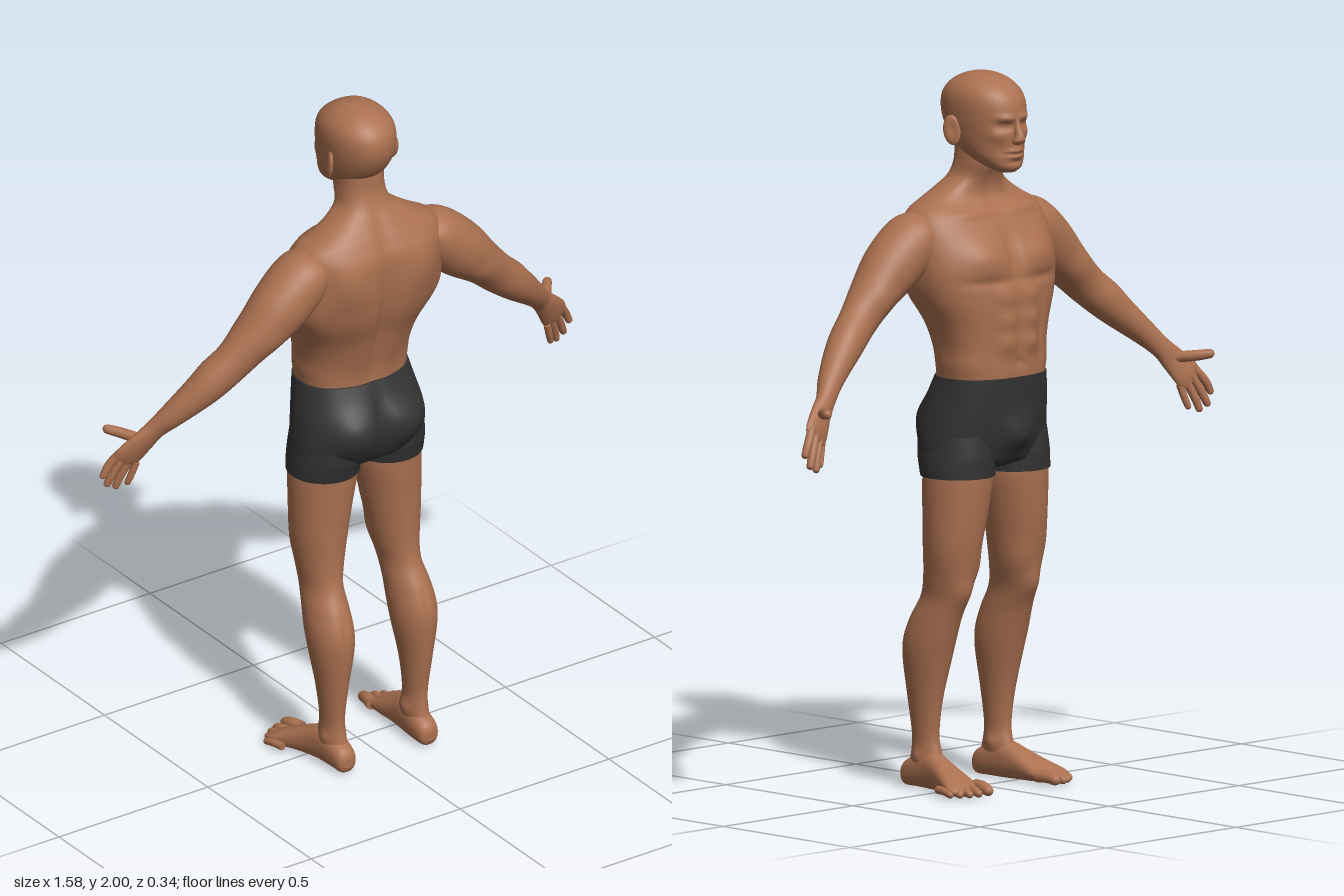
import * as THREE from 'three';

const V = (x, y, z) => new THREE.Vector3(x, y, z);
const UP = V(0, 1, 0), DOWN = V(0, -1, 0), BACK = V(0, 0, 1), FORWARD = V(0, 0, -1);

// Smooth interpolation through rows of numbers
function spline(rows, steps) {
  const out = [], last = rows.length - 1;
  for (let i = 0; i < last; i++) {
    const [a, b, c, d] = [rows[Math.max(i - 1, 0)], rows[i], rows[i + 1], rows[Math.min(i + 2, last)]];
    for (let s = 0; s < steps; s++) {
      const t = s / steps;
      out.push(b.map((_, k) => {
        const cubic = 3 * (b[k] - c[k]) + d[k] - a[k];
        const square = 2 * a[k] - 5 * b[k] + 4 * c[k] - d[k];
        return b[k] + 0.5 * t * (c[k] - a[k] + t * (square + t * cubic));
      }));
    }
  }
  out.push(rows[last]);
  return out;
}

// Skin over cross-sections [x, y, z, halfWidth, halfDepth]; axis fixes the ring direction
function loft(rows, { sides = 40, steps = 6, power = 2, ref = BACK, axis = null } = {}) {
  const rings = spline(rows, steps), pos = [], idx = [], n = rings.length;
  const centre = i => V(...rings[Math.min(Math.max(i, 0), n - 1)].slice(0, 3));
  const round = v => Math.sign(v) * Math.pow(Math.abs(v), 2 / power);
  rings.forEach((r, i) => {
    const t = axis ? axis.clone() : centre(i + 1).sub(centre(i - 1)).normalize();
    const v = ref.clone().addScaledVector(t, -ref.dot(t)).normalize();
    const u = v.clone().cross(t);
    for (let j = 0; j < sides; j++) {
      const q = j / sides * Math.PI * 2;
      pos.push(...centre(i).addScaledVector(u, r[3] * round(Math.cos(q)))
        .addScaledVector(v, r[4] * round(Math.sin(q))).toArray());
    }
  });
  for (let i = 0; i < n - 1; i++) for (let j = 0; j < sides; j++) {
    const a = i * sides + j, b = i * sides + (j + 1) % sides;
    idx.push(a, b, a + sides, b, b + sides, a + sides);
  }
  for (const i of [0, n - 1]) {
    const base = pos.length / 3;
    pos.push(...pos.slice(i * sides * 3, (i + 1) * sides * 3), ...centre(i).toArray());
    for (let j = 0; j < sides; j++) {
      const a = base + j, b = base + (j + 1) % sides;
      idx.push(...(i ? [a, b, base + sides] : [b, a, base + sides]));
    }
  }
  const g = new THREE.BufferGeometry();
  g.setAttribute('position', new THREE.Float32BufferAttribute(pos, 3));
  g.setIndex(idx);
  g.computeVertexNormals();
  return g;
}

// Horizontal cross-section from its limits
const level = (y, x0, x1, zf, zb) => [(x0 + x1) / 2, y, (zf + zb) / 2, (x1 - x0) / 2, (zb - zf) / 2];
const even = ([y, w, zf, zb]) => level(y, -w, w, zf, zb);

// Push soft mounds or hollows [x, y, z, rx, ry, rz, height] on both halves
function sculpt(g, mounds) {
  const p = g.attributes.position, nor = g.attributes.normal;
  for (let i = 0; i < p.count; i++) {
    const x = Math.abs(p.getX(i)), y = p.getY(i), z = p.getZ(i);
    let d = 0;
    for (const [mx, my, mz, rx, ry, rz, h] of mounds) {
      const away = V((x - mx) / rx, (y - my) / ry, (z - mz) / rz);
      d += h * Math.exp(-away.lengthSq());
    }
    p.setXYZ(i, p.getX(i) + nor.getX(i) * d, y + nor.getY(i) * d, z + nor.getZ(i) * d);
  }
  g.computeVertexNormals();
  return g;
}

// Rounded finger or toe along three points
function digit(a, b, c, r) {
  const dir = V(...c).sub(V(...b)).normalize();
  const tip = k => V(...c).addScaledVector(dir, r * k).toArray();
  return loft([[...a, r, r], [...b, r * 0.97, r * 0.97], [...c, r * 0.85, r * 0.85],
    [...tip(0.6), r * 0.62, r * 0.62], [...tip(0.9), r * 0.15, r * 0.15]],
  { sides: 14, steps: 4, ref: V(0.3, 0.5, 0.8).normalize() });
}

function mirrored(g) {
  const m = g.clone().scale(-1, 1, 1), a = m.index.array;
  for (let i = 0; i < a.length; i += 3) [a[i], a[i + 1]] = [a[i + 1], a[i]];
  m.computeVertexNormals();
  return m;
}

export function createModel() {
  const model = new THREE.Group();
  const skin = new THREE.MeshStandardMaterial({ color: 0xaa7050 });
  const cloth = new THREE.MeshStandardMaterial({ color: 0x333333 });
  skin.name = 'skin';
  cloth.name = 'charcoal cloth';
  const add = (name, g, mat = skin) => {
    const m = new THREE.Mesh(g, mat);
    m.name = name;
    model.add(m);
  };
  const pair = (name, g, mat) => {
    add(name + 'Left', mirrored(g), mat);
    add(name + 'Right', g, mat);
  };

  // Torso and neck with chest, stomach and back muscles
  const torso = loft([
    [1.10, 0.162, -0.14, 0.085], [1.16, 0.163, -0.149, 0.082], [1.22, 0.166, -0.15, 0.088],
    [1.30, 0.185, -0.15, 0.112], [1.38, 0.22, -0.147, 0.147], [1.45, 0.237, -0.138, 0.163],
    [1.52, 0.24, -0.115, 0.167], [1.58, 0.235, -0.085, 0.162], [1.62, 0.215, -0.055, 0.145],
    [1.65, 0.165, -0.032, 0.128], [1.68, 0.115, -0.028, 0.11], [1.71, 0.078, -0.036, 0.092],
    [1.75, 0.068, -0.055, 0.078], [1.80, 0.066, -0.06, 0.075],
  ].map(even), { sides: 96, steps: 7, power: 2.4, axis: UP });
  add('torso', sculpt(torso, [
    [0.10, 1.495, -0.13, 0.07, 0.05, 0.08, 0.02], [0.10, 1.43, -0.15, 0.08, 0.012, 0.06, -0.009],
    [0, 1.5, -0.13, 0.014, 0.07, 0.07, -0.012], [0, 1.28, -0.16, 0.01, 0.12, 0.05, -0.007],
    ...[1.385, 1.32, 1.255].map(y => [0.042, y, -0.15, 0.03, 0.026, 0.05, 0.01]),
    [0, 1.2, -0.16, 0.012, 0.012, 0.05, -0.008], [0.085, 1.28, -0.14, 0.012, 0.1, 0.05, -0.006],
    [0.15, 1.2, -0.05, 0.04, 0.03, 0.1, 0.006], [0.09, 1.61, -0.05, 0.07, 0.012, 0.05, 0.007],
    [0, 1.42, 0.16, 0.02, 0.22, 0.09, -0.024], [0.12, 1.52, 0.15, 0.05, 0.07, 0.06, 0.012],
    [0.045, 1.25, 0.1, 0.03, 0.1, 0.05, 0.008], [0.21, 1.42, 0.07, 0.04, 0.06, 0.07, 0.008],
    [0.035, 1.7, -0.04, 0.016, 0.06, 0.04, 0.005],
  ]));

  // Head with brow, eye sockets, cheeks and lips
  const head = loft([
    [1.728, 0.022, -0.12, -0.075], [1.742, 0.048, -0.133, -0.035], [1.77, 0.072, -0.135, 0.03],
    [1.80, 0.084, -0.135, 0.075], [1.84, 0.092, -0.137, 0.107], [1.88, 0.097, -0.138, 0.124],
    [1.92, 0.098, -0.133, 0.125], [1.95, 0.091, -0.116, 0.112], [1.975, 0.071, -0.085, 0.085],
    [1.992, 0.041, -0.048, 0.048], [2, 0.006, -0.006, 0.006],
  ].map(even), { sides: 72, steps: 7, power: 2.15, axis: UP });
  add('head', sculpt(head, [
    [0.036, 1.86, -0.13, 0.02, 0.012, 0.04, -0.014], [0.03, 1.882, -0.13, 0.028, 0.01, 0.04, 0.008],
    [0.036, 1.86, -0.125, 0.011, 0.006, 0.03, 0.007], [0.055, 1.835, -0.11, 0.02, 0.016, 0.03, 0.005],
    [0, 1.789, -0.135, 0.024, 0.006, 0.04, 0.008], [0, 1.773, -0.135, 0.02, 0.006, 0.04, 0.007],
    [0, 1.781, -0.135, 0.028, 0.003, 0.04, -0.005], [0, 1.758, -0.135, 0.025, 0.006, 0.04, -0.005],
    [0.045, 1.795, -0.12, 0.014, 0.02, 0.03, -0.004],
  ]));
  add('nose', loft([[0, 1.885, -0.131, 0.008, 0.01], [0, 1.86, -0.138, 0.009, 0.011],
    [0, 1.832, -0.146, 0.014, 0.016], [0, 1.818, -0.144, 0.02, 0.017],
    [0, 1.808, -0.139, 0.012, 0.01]], { sides: 20, axis: DOWN }));
  const ear = new THREE.SphereGeometry(1, 24, 18);
  ear.scale(0.01, 0.042, 0.026).rotateY(0.45).rotateX(0.15).translate(0.102, 1.842, 0.015);
  pair('ear', sculpt(ear, [[0.108, 1.845, 0.008, 0.03, 0.02, 0.011, -0.007]]));

  // Arm from shoulder to palm
  const arm = loft([
    [0.17, 1.57, 0.055, 0.05, 0.07], [0.22, 1.545, 0.052, 0.078, 0.086],
    [0.30, 1.475, 0.055, 0.082, 0.083], [0.378, 1.405, 0.05, 0.064, 0.065],
    [0.44, 1.345, 0.04, 0.057, 0.053], [0.518, 1.277, 0.018, 0.05, 0.05],
    [0.598, 1.205, -0.015, 0.037, 0.037], [0.645, 1.157, -0.042, 0.031, 0.025],
    [0.677, 1.122, -0.056, 0.037, 0.02], [0.712, 1.08, -0.075, 0.044, 0.016],
    [0.728, 1.06, -0.083, 0.038, 0.011],
  ]);
  pair('arm', sculpt(arm, [
    [0.38, 1.4, -0.01, 0.05, 0.05, 0.04, 0.007], [0.36, 1.4, 0.11, 0.05, 0.05, 0.04, 0.006],
    [0.34, 1.44, 0.05, 0.02, 0.02, 0.1, -0.005], [0.5, 1.32, 0.01, 0.04, 0.04, 0.04, 0.006],
  ]));
  // Fingers: base, middle joint, tip, radius
  pair('thumb', digit([0.682, 1.125, -0.06], [0.712, 1.132, -0.11], [0.738, 1.138, -0.142], 0.0155));
  pair('indexFinger', digit([0.738, 1.09, -0.082], [0.765, 1.055, -0.096], [0.781, 1.025, -0.1], 0.0125));
  pair('middleFinger', digit([0.726, 1.07, -0.084], [0.75, 1.025, -0.097], [0.765, 0.993, -0.104], 0.0125));
  pair('ringFinger', digit([0.708, 1.058, -0.08], [0.728, 1.012, -0.093], [0.739, 0.98, -0.1], 0.012));
  pair('littleFinger', digit([0.69, 1.05, -0.073], [0.702, 1.012, -0.08], [0.71, 0.988, -0.086], 0.0105));

  // Leg from hip to ankle
  const leg = loft([
    [0.97, 0.02, 0.19, -0.11, 0.09], [0.88, 0.01, 0.202, -0.112, 0.088],
    [0.78, 0.027, 0.203, -0.105, 0.083], [0.70, 0.043, 0.2, -0.095, 0.08],
    [0.60, 0.064, 0.19, -0.076, 0.08], [0.54, 0.077, 0.185, -0.062, 0.092],
    [0.48, 0.077, 0.195, -0.038, 0.125], [0.42, 0.075, 0.202, -0.018, 0.147],
    [0.36, 0.079, 0.199, 0, 0.15], [0.25, 0.098, 0.182, 0.026, 0.137],
    [0.15, 0.108, 0.17, 0.037, 0.125], [0.09, 0.105, 0.17, 0.025, 0.132],
    [0.04, 0.108, 0.17, 0.02, 0.148],
  ].map(s => level(...s)), { sides: 48, axis: DOWN });
  pair('leg', sculpt(leg, [
    [0.13, 0.56, -0.06, 0.032, 0.035, 0.04, 0.008], [0.085, 0.63, -0.05, 0.03, 0.045, 0.05, 0.008],
    [0.18, 0.66, -0.05, 0.03, 0.06, 0.05, 0.005], [0.135, 0.42, 0.15, 0.01, 0.08, 0.04, -0.005],
    [0.105, 0.1, 0.075, 0.02, 0.018, 0.02, 0.007], [0.17, 0.09, 0.085, 0.02, 0.018, 0.02, 0.007],
  ]));
  // Foot and toes
  pair('foot', loft([
    [0.138, 0.034, 0.162, 0.012, 0.015], [0.138, 0.036, 0.15, 0.03, 0.034],
    [0.138, 0.046, 0.11, 0.036, 0.045], [0.142, 0.053, 0.05, 0.037, 0.053],
    [0.15, 0.044, 0, 0.041, 0.044], [0.16, 0.032, -0.05, 0.051, 0.032],
    [0.17, 0.023, -0.09, 0.058, 0.022], [0.172, 0.017, -0.115, 0.053, 0.015],
    [0.17, 0.014, -0.13, 0.035, 0.007],
  ], { ref: UP, axis: FORWARD, power: 2.3 }));
  [[0.13, -0.155, 0.018], [0.163, -0.152, 0.0135], [0.188, -0.142, 0.0125],
    [0.21, -0.126, 0.012], [0.228, -0.106, 0.0115],
  ].forEach(([x, z, r], i) => pair(`toe${i + 1}`,
    digit([x - 0.012, r + 0.006, z + 0.06], [x - 0.004, r + 0.006, z + 0.025], [x, r, z], r)));

  // Shorts: seat and two short leg pieces
  const seat = loft([
    [0.9, 0.13, -0.07, 0.06], [0.92, 0.19, -0.108, 0.095], [0.95, 0.202, -0.122, 0.118],
    [1.0, 0.2, -0.135, 0.138], [1.05, 0.192, -0.145, 0.138], [1.12, 0.178, -0.153, 0.108],
    [1.16, 0.17, -0.156, 0.09],
  ].map(even), { sides: 80, power: 2.25, axis: UP });
  add('shortsSeat', sculpt(seat, [
    [0.09, 1.03, 0.13, 0.065, 0.065, 0.06, 0.018], [0, 1.03, 0.14, 0.016, 0.09, 0.07, -0.02],
    [0, 1.0, -0.13, 0.05, 0.05, 0.07, 0.028],
  ]), cloth);
  pair('shortsLeg', loft([
    [1.0, 0.01, 0.197, -0.115, 0.115], [0.94, 0.003, 0.205, -0.12, 0.11],
    [0.905, 0.003, 0.208, -0.118, 0.1], [0.882, 0.004, 0.208, -0.117, 0.094],
  ].map(s => level(...s)), { sides: 48, axis: DOWN }), cloth);

  return model;
}
